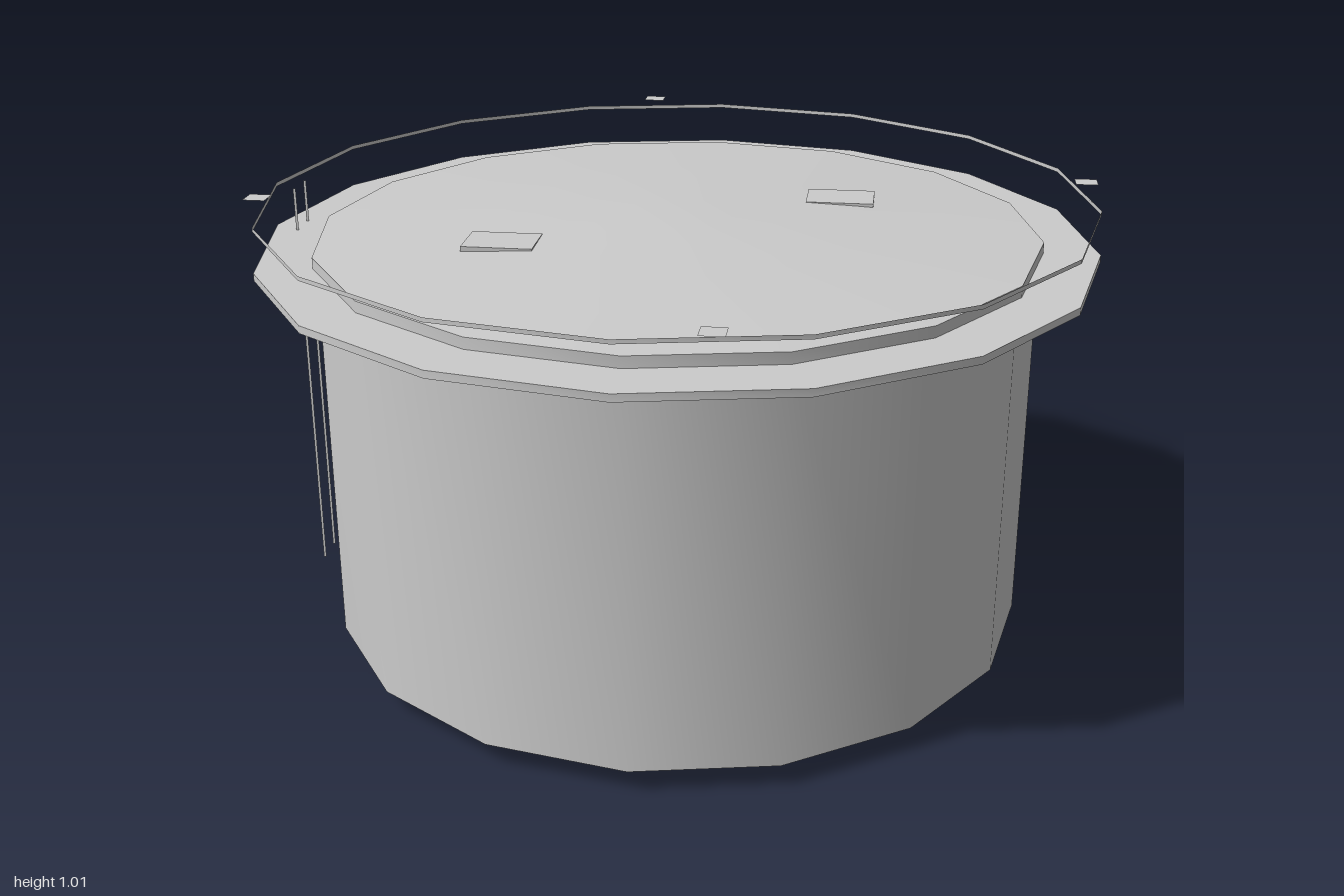
import * as THREE from 'three';
import { toCreasedNormals } from 'three/addons/utils/BufferGeometryUtils.js';

const SIDES = 16;
const material = new THREE.MeshStandardMaterial({ color: 0xcccccc, side: THREE.DoubleSide });

export function createModel() {
  const model = new THREE.Group();
  model.name = 'liddedTank';
  const tank = new THREE.Group();
  tank.name = 'tank';
  tank.position.z = 0.095;
  model.add(tank);

  const add = (parent, name, geometry, x = 0, y = 0, z = 0) => {
    const mesh = new THREE.Mesh(geometry, material);
    mesh.name = name;
    mesh.position.set(x, y, z);
    parent.add(mesh);
  };
  // Sixteen-sided turned part from [radius, height] pairs
  const turned = (points) => toCreasedNormals(
    new THREE.LatheGeometry(points.map(([r, y]) => new THREE.Vector2(r, y)), SIDES), 0.7);

  // Hollow shell open at the bottom, its flange and the shallow domed lid
  add(tank, 'shell', turned([[0.775, 0.05], [0.775, 0.89]]));
  add(tank, 'flange', turned([
    [0.77, 0.882], [0.903, 0.882], [0.903, 0.898], [0.77, 0.898], [0.77, 0.882],
  ]));
  add(tank, 'lid', turned([
    [0, 0.885], [0.783, 0.885], [0.783, 0.922], [0.4, 0.943], [0.12, 0.956], [0, 0.958],
  ]));

  // Two flat pads set almost flush in the lid
  for (const s of [1, -1]) {
    add(tank, 'lidPad', new THREE.BoxGeometry(0.15, 0.02, 0.11), s * 0.342, 0.938, s * -0.212);
  }

  // Thin upright band above the rim, with four flat tabs over it
  add(tank, 'upperHoop', turned([[0.897, 0.986], [0.897, 0.995]]));
  for (let i = 0; i < 4; i++) {
    const a = Math.PI / SIDES + i * Math.PI / 2;
    add(tank, 'hoopTab', new THREE.PlaneGeometry(0.048, 0.048).rotateX(-Math.PI / 2),
      0.895 * Math.sin(a), 1.01, 0.895 * Math.cos(a));
  }

  // Pair of slim flat rods at the side
  for (const z of [-0.035, 0.035]) {
    add(tank, 'sideRod', new THREE.PlaneGeometry(0.006, 0.905), -0.845, 0.5395, z);
  }

  // Drain pipe: a six-sided cylinder whose rows follow a mitred path [y, z, normal y, normal z]
  const path = [
    [0.185, -0.66, -1, 0],
    [0.185, -0.89, -1, 0.29],
    [0.135, -0.97, -0.555, 1],
    [0, -0.97, 0, 1],
  ];
  const pipe = new THREE.CylinderGeometry(0.03, 0.03, 1, 6, 3);
  const pos = pipe.attributes.position;
  for (let i = 0; i < pos.count; i++) {
    const [y, z, ny, nz] = path[Math.round((0.5 - pos.getY(i)) * 3)];
    const d = pos.getZ(i);
    pos.setXYZ(i, pos.getX(i), y + ny * d, z + nz * d);
  }
  add(model, 'drainPipe', toCreasedNormals(pipe, 1.2));

  return model;
}
